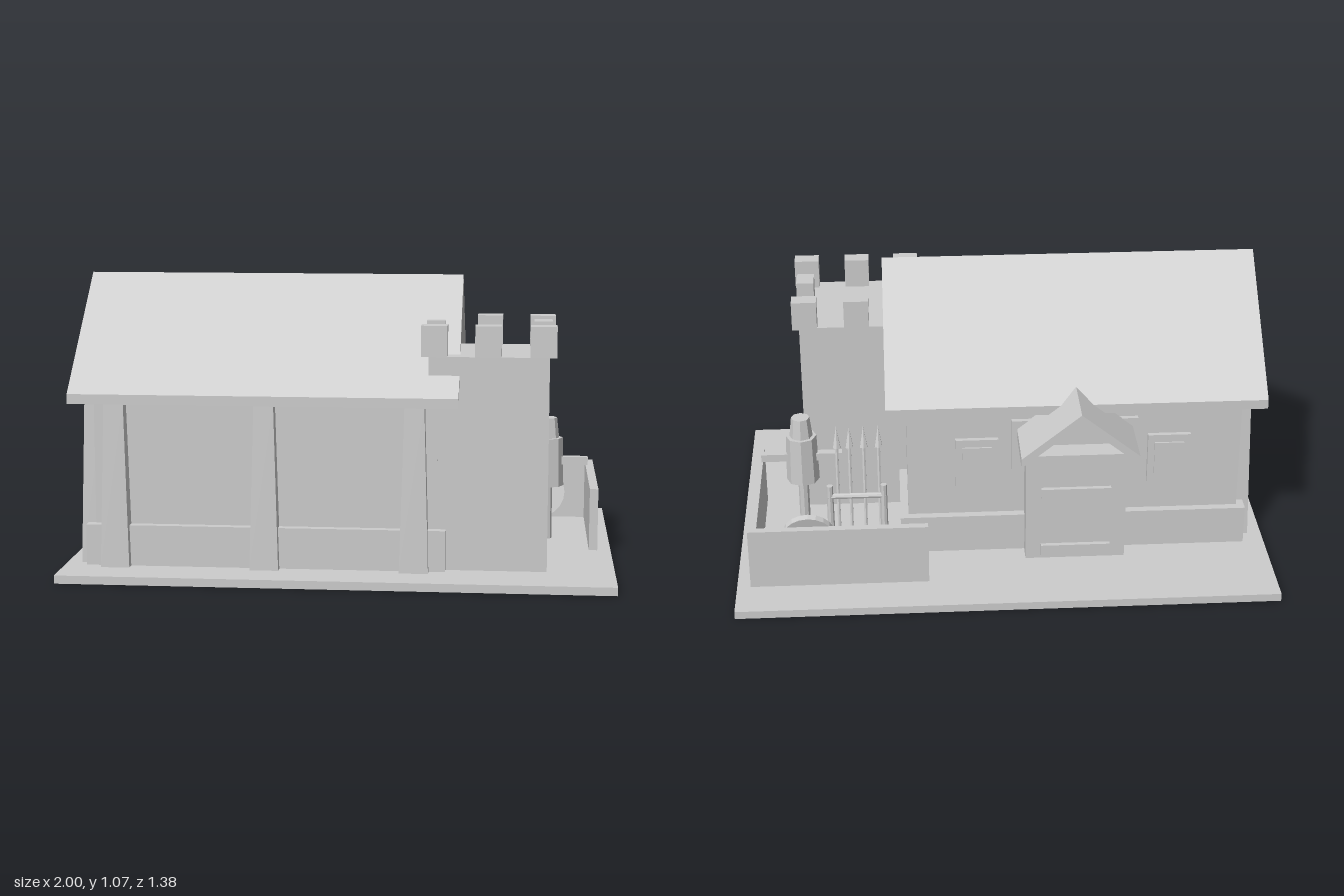
import * as THREE from 'three';

const stone = new THREE.MeshStandardMaterial({ color: 0xcccccc, flatShading: true });
stone.name = 'plain grey';

export function createModel() {
  const model = new THREE.Group();
  model.name = 'barracks';

  const add = (name, geo, parent = model) => {
    const m = new THREE.Mesh(geo, stone);
    m.name = name;
    parent.add(m);
    return m;
  };
  // Box given by its minimum and maximum on each axis
  const box = (name, x0, x1, y0, y1, z0, z1) => {
    const m = add(name, new THREE.BoxGeometry(x1 - x0, y1 - y0, z1 - z0));
    m.position.set((x0 + x1) / 2, (y0 + y1) / 2, (z0 + z1) / 2);
    return m;
  };
  // Upright cylinder or cone
  const post = (name, rTop, rBottom, y0, y1, x, z, sides = 8) => {
    const m = add(name, new THREE.CylinderGeometry(rTop, rBottom, y1 - y0, sides));
    m.position.set(x, (y0 + y1) / 2, z);
    return m;
  };
  const extrude = (points, depth) => new THREE.ExtrudeGeometry(
    new THREE.Shape(points.map(([x, y]) => new THREE.Vector2(x, y))), { depth, bevelEnabled: false });
  // Profile drawn in (z, y) and swept along x
  const sweepX = (name, points, x0, x1) => {
    const m = add(name, extrude(points.map(([z, y]) => [-z, y]), x1 - x0));
    m.rotation.y = Math.PI / 2;
    m.position.x = x0;
    return m;
  };
  // Inverted V for a gabled roof
  const chevron = (c, half, ridge, eave, t) => [
    [c - half, eave], [c - half, eave - t], [c, ridge - t],
    [c + half, eave - t], [c + half, eave], [c, ridge]];

  // Ground slab, hall and main roof
  box('groundSlab', -1, 1, 0, 0.03, -0.69, 0.69);
  sweepX('hall', [[-0.29, 0.03], [0.48, 0.03], [0.48, 0.66], [0.095, 0.995], [-0.29, 0.66]], -0.89, 0.36);
  box('plinth', -0.92, 0.39, 0.03, 0.18, -0.32, 0.513);
  sweepX('mainRoof', chevron(0.097, 0.465, 1.07, 0.667, 0.036), -0.97, 0.435);

  // Tapered buttresses on the front and left walls
  const buttress = (x, z) => {
    const g = new THREE.BoxGeometry(0.105, 0.6, 0.105);
    const p = g.attributes.position;
    for (let i = 0; i < p.count; i++) {
      if (p.getY(i) > 0) {
        p.setX(i, p.getX(i) * 0.68);
        p.setZ(i, p.getZ(i) * 0.68);
      }
    }
    g.computeVertexNormals();
    add('buttress', g).position.set(x, 0.33, z);
  };
  for (const x of [-0.808, -0.263, 0.278]) buttress(x, 0.496);
  for (const z of [-0.21, 0.42]) buttress(-0.895, z);

  // Corner tower with battlements
  box('tower', 0.325, 0.755, 0.03, 0.806, 0.053, 0.479);
  const merlon = (x0, x1, z0, z1) => box('merlon', x0, x1, 0.806, 0.918, z0, z1);
  for (const x of [0.345, 0.537, 0.733]) {
    merlon(x - 0.047, x + 0.047, 0.428, 0.49);
    merlon(x - 0.047, x + 0.047, 0.037, 0.1);
  }
  for (const x of [0.343, 0.733]) merlon(x - 0.033, x + 0.033, 0.217, 0.307);

  // Rear porch with banded door
  box('porch', -0.452, -0.078, 0.03, 0.47, -0.39, -0.29);
  box('porchBacking', -0.5, -0.03, 0.36, 0.575, -0.308, -0.285);
  add('porchRoof', extrude(chevron(-0.265, 0.215, 0.715, 0.542, 0.036), 0.235)).position.z = -0.538;
  for (const y of [0.07, 0.313]) box('doorBand', -0.395, -0.135, y - 0.023, y + 0.023, -0.407, -0.385);

  // Rear windows
  for (const x of [0.1, -0.62]) {
    box('windowFrame', x - 0.08, x + 0.08, 0.3, 0.5, -0.308, -0.28);
    box('windowPane', x - 0.055, x + 0.055, 0.33, 0.47, -0.315, -0.3);
  }

  // Training yard walls
  box('yardBackWall', 0.29, 0.95, 0.03, 0.265, -0.528, -0.5);
  box('yardSideWall', 0.918, 0.95, 0.03, 0.265, -0.5, 0.11);

  // Training dummy
  post('dummyPole', 0.02, 0.02, 0.03, 0.25, 0.76, -0.097);
  post('dummyBody', 0.058, 0.063, 0.24, 0.427, 0.76, -0.097);
  post('dummyHead', 0.035, 0.044, 0.427, 0.505, 0.76, -0.097);
  box('dummyArms', 0.608, 0.915, 0.323, 0.353, -0.112, -0.081);

  // Round shield leaning by the back wall
  const shield = post('shield', 0.1, 0.1, 0, 0.025, 0.735, -0.388, 20);
  shield.position.y = 0.155;
  shield.rotation.x = Math.PI / 2 - 0.22;

  // Spear rack with leaning spears
  for (const x of [0.45, 0.65]) post('rackPost', 0.012, 0.014, 0.03, 0.345, x, -0.345);
  const rail = post('rackRail', 0.011, 0.011, 0, 0.21, 0.55, -0.345);
  rail.position.y = 0.3;
  rail.rotation.z = Math.PI / 2;
  for (const x of [0.465, 0.52, 0.573, 0.62]) {
    const spear = new THREE.Group();
    spear.name = 'spear';
    add('spearShaft', new THREE.CylinderGeometry(0.007, 0.007, 0.45, 6), spear).position.y = 0.225;
    add('spearHead', new THREE.ConeGeometry(0.016, 0.085, 6), spear).position.y = 0.49;
    spear.position.set(x, 0.03, -0.34);
    spear.rotation.x = 0.12;
    model.add(spear);
  }
  return model;
}
